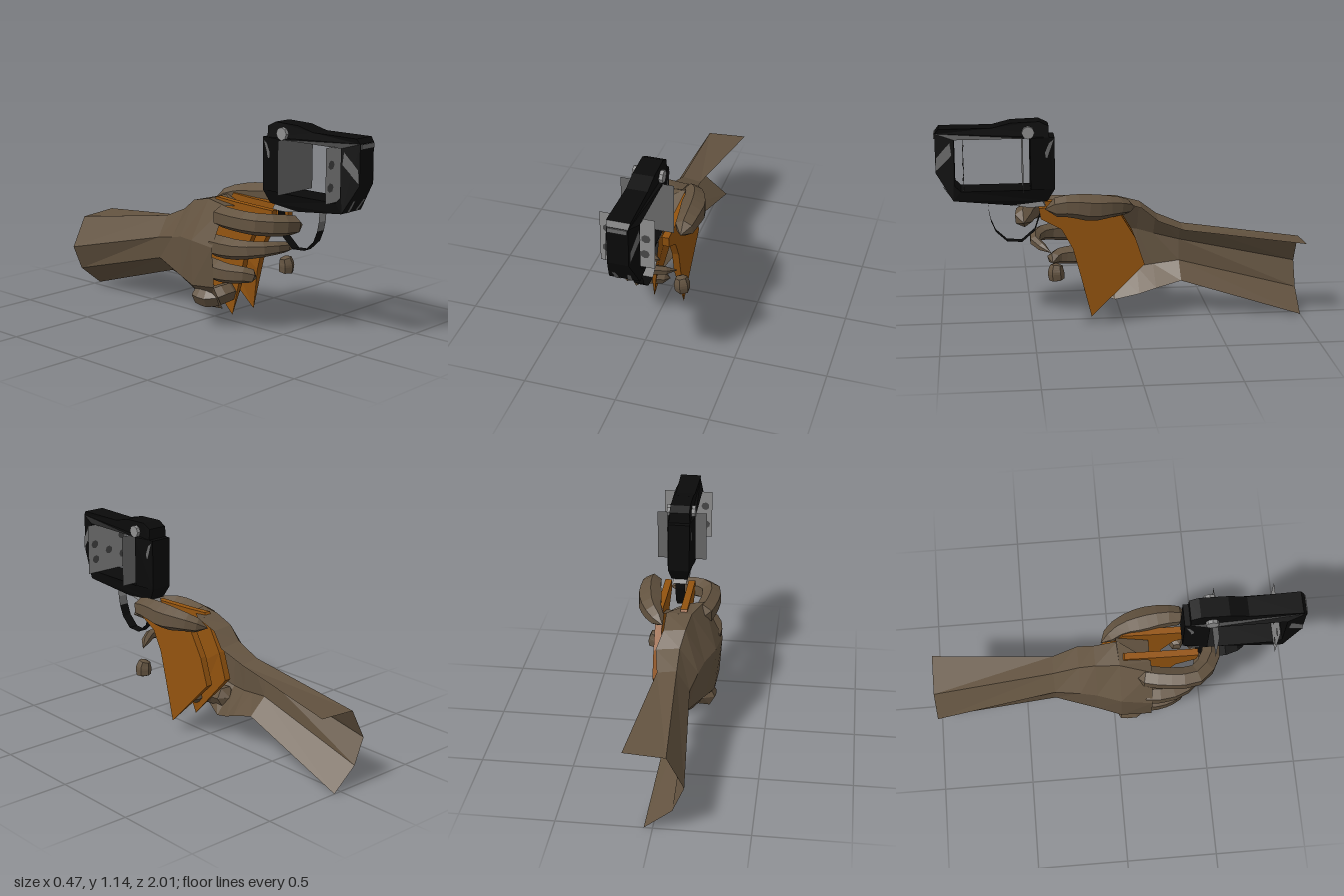
import * as THREE from 'three';

const CX = 0.035; // centre plane of the gun

const mat = (name, color) =>
  new THREE.MeshStandardMaterial({ name, color, flatShading: true, side: THREE.DoubleSide });

const skin = mat('skin', 0x635340);
const orange = mat('orange grip', 0x94540f);
const black = mat('black metal', 0x0a0a0a);
const dark = mat('dark stain', 0x484848);
const grey = mat('grey metal', 0x6a6a6a);
const light = mat('light panel', 0x8f8f8f);

function add(parent, name, geometry, material) {
  const mesh = new THREE.Mesh(geometry, material);
  mesh.name = name;
  parent.add(mesh);
  return mesh;
}

// Outline given as [z, y] pairs
const outline = (pts) => new THREE.Shape(pts.map(([z, y]) => new THREE.Vector2(z, y)));

// Slab in the side plane, spanning x = -width/2 .. width/2
function sideSlab(shape, width) {
  const g = new THREE.ExtrudeGeometry(shape, { depth: width, bevelEnabled: false });
  return g.translate(0, 0, -width / 2).rotateY(-Math.PI / 2);
}

// Changes x of every vertex by a rule
function bendX(g, rule) {
  const p = g.attributes.position;
  for (let i = 0; i < p.count; i++) p.setX(i, rule(p.getX(i), p.getY(i), p.getZ(i)));
  g.computeVertexNormals();
  return g;
}

// Joins open cross-sections (equal point counts) into a sheet
function loft(sections) {
  const n = sections[0].length;
  const index = [];
  for (let i = 0; i < sections.length - 1; i++) {
    for (let j = 0; j < n - 1; j++) {
      const a = i * n + j, b = a + 1, c = a + n, d = c + 1;
      index.push(a, b, c, b, d, c);
    }
  }
  const g = new THREE.BufferGeometry();
  g.setAttribute('position', new THREE.Float32BufferAttribute(sections.flat(2), 3));
  g.setIndex(index);
  g.computeVertexNormals();
  return g;
}

// Six-sided finger through [x, y, z, radius] points, closed at both ends
function finger(pts) {
  const curve = new THREE.CatmullRomCurve3(pts.map(([x, y, z]) => new THREE.Vector3(x, y, z)));
  const seg = 9, sides = 6;
  const g = new THREE.TubeGeometry(curve, seg, 1, sides);
  const p = g.attributes.position, v = new THREE.Vector3();
  for (let i = 0; i <= seg; i++) {
    const c = curve.getPointAt(i / seg);
    const t = (i / seg) * (pts.length - 1);
    const k = Math.min(Math.floor(t), pts.length - 2);
    let r = THREE.MathUtils.lerp(pts[k][3], pts[k + 1][3], t - k);
    if (i === 0 || i === seg) r = 0.001;
    for (let j = 0; j <= sides; j++) {
      const id = i * (sides + 1) + j;
      v.fromBufferAttribute(p, id).sub(c).multiplyScalar(r).add(c);
      p.setXYZ(id, v.x, v.y, v.z);
    }
  }
  g.computeVertexNormals();
  return g;
}

function buildGun() {
  const gun = new THREE.Group();
  gun.name = 'gun';

  // Frame with a window; nose, top, bottom and rear edges are narrower
  const shape = outline([
    [1, 0.88], [1, 1.09], [0.98, 1.115], [0.7, 1.115], [0.6, 1.14], [0.45, 1.145], [0.4, 1.12],
    [0.4, 1.06], [0.37, 1.06], [0.37, 0.78], [0.41, 0.71], [0.6, 0.69], [0.91, 0.73],
  ]);
  const hole = [[0.9, 0.81], [0.9, 1.06], [0.5, 1.06], [0.5, 0.78], [0.87, 0.78]];
  shape.holes.push(new THREE.Path(hole.map(([z, y]) => new THREE.Vector2(z, y))));
  const halfWidth = (y, z) => {
    if (z > 0.91) return 0.08 - (z - 0.91) * 0.28;
    if (y > 1.1) return 0.055;
    if (y < 0.75) return 0.045;
    return z < 0.45 ? 0.06 : 0.08;
  };
  const frame = bendX(sideSlab(shape, 0.16), (x, y, z) => CX + Math.sign(x) * halfWidth(y, z));
  add(gun, 'gunFrame', frame, black);

  // Wide thin panels across the window
  const panel = (z) => new THREE.PlaneGeometry(0.28, 0.285).translate(CX, 0.922, z);
  add(gun, 'frontPanel', panel(0.855), light);
  add(gun, 'rearPanel', panel(0.54), grey);

  // Stains on both faces of the front panel
  for (const [x, y] of [[-0.065, 0.975], [-0.07, 0.86], [0.13, 0.95], [0.125, 0.86], [0.03, 0.9]]) {
    for (const dz of [-0.003, 0.003]) {
      add(gun, 'stain', new THREE.CircleGeometry(0.024, 7).translate(x, y, 0.855 + dz), dark);
    }
  }

  // Worn patches and pins on both sides
  const patches = [
    [[1, 0.89], [0.995, 0.96], [0.92, 1.05], [0.912, 0.98]],
    [[0.43, 0.96], [0.4, 1.03], [0.375, 1.05], [0.41, 0.95]],
  ];
  for (const s of [-1, 1]) {
    for (const pts of patches) {
      const g = new THREE.ShapeGeometry(outline(pts)).rotateY(-Math.PI / 2);
      add(gun, 'wornPatch', bendX(g, (x, y, z) => CX + s * (halfWidth(y, z) + 0.006)), grey);
    }
    const pin = new THREE.CylinderGeometry(0.034, 0.034, 0.02, 8).rotateZ(Math.PI / 2);
    add(gun, 'pin', pin.translate(CX + s * 0.07, 1.09, 0.51), light);

    // Worn strip beside the centre of the lower nose
    add(gun, 'noseStrip', loft([
      [[CX + s * 0.03, 0.8, 0.962], [CX + s * 0.052, 0.8, 0.962]],
      [[CX + s * 0.018, 0.73, 0.915], [CX + s * 0.045, 0.73, 0.915]],
    ]), grey);
  }

  // Front sight strip and the plate under the frame
  add(gun, 'sight', new THREE.BoxGeometry(0.1, 0.025, 0.008).translate(CX, 1.075, 1.002), grey);
  const under = outline([[0.62, 0.695], [0.44, 0.715], [0.42, 0.675], [0.52, 0.675]]);
  add(gun, 'underPlate', sideSlab(under, 0.08).translate(CX, 0, 0), light);

  // Trigger guard: a thin band with worn upper end
  const band = (pts) => loft(pts.map(([z, y]) => [[CX - 0.028, y, z], [CX + 0.028, y, z]]));
  add(gun, 'triggerGuard', band([
    [0.715, 0.6], [0.69, 0.54], [0.63, 0.485], [0.55, 0.48], [0.48, 0.54], [0.45, 0.63], [0.45, 0.7],
  ]), black);
  add(gun, 'guardMiddle', band([[0.725, 0.65], [0.715, 0.6]]), grey);
  add(gun, 'guardEnd', band([[0.73, 0.71], [0.725, 0.65]]), light);
  return gun;
}

function buildGrips() {
  const grips = new THREE.Group();
  grips.name = 'grips';
  const shape = outline([
    [0.18, 0.06], [0.24, 0.3], [0.28, 0.45], [0.34, 0.56], [0.45, 0.62], [0.46, 0.68],
    [0.2, 0.69], [0.06, 0.7], [-0.06, 0.5], [-0.11, 0.35],
  ]);
  // Each cheek is flat outside and tapers to its lower tip
  for (const s of [-1, 1]) {
    const g = bendX(sideSlab(shape, 0.04), (x, y) => {
      const inner = x * s < 0 && y > 0.1;
      return CX + s * (inner ? 0.048 : 0.086);
    });
    add(grips, s > 0 ? 'leftGrip' : 'rightGrip', g, orange);
  }
  return grips;
}

function buildHand() {
  const hand = new THREE.Group();
  hand.name = 'hand';

  // Forearm and back of the hand, open towards the left
  const rows = [
    [-1, [[0.15, 0.445], [-0.07, 0.43], [-0.16, 0.26], [-0.1, 0.12], [0.045, 0.005]]],
    [-0.33, [[0.065, 0.52], [-0.04, 0.535], [-0.11, 0.42], [-0.1, 0.3], [0, 0.21]]],
    [-0.19, [[0.09, 0.58], [-0.04, 0.595], [-0.14, 0.45], [-0.14, 0.27], [0, 0.17]]],
    [-0.1, [[0.06, 0.65], [-0.06, 0.66], [-0.165, 0.47], [-0.165, 0.25], [-0.03, 0.13]]],
    [0.03, [[0.06, 0.69], [-0.08, 0.69], [-0.215, 0.48], [-0.21, 0.23], [-0.08, 0.085]]],
    [0.2, [[-0.06, 0.67], [-0.13, 0.68], [-0.235, 0.47], [-0.22, 0.25], [-0.15, 0.12]]],
  ];
  add(hand, 'forearm', loft(rows.map(([z, pts]) => pts.map(([x, y]) => [x, y, z]))), skin);

  // Web between thumb and palm, between the grips
  add(hand, 'palmWeb', loft([
    [[-0.08, 0.69, 0.03], [0.08, 0.69, 0.02]],
    [[-0.02, 0.62, 0.2], [0.08, 0.62, 0.2]],
    [[-0.02, 0.45, 0.12], [0.08, 0.45, 0.12]],
  ]), skin);

  const fingers = {
    thumb: [[0.07, 0.66, -0.06, 0.03], [0.14, 0.685, 0.05, 0.055], [0.17, 0.69, 0.18, 0.075],
      [0.18, 0.705, 0.3, 0.062], [0.175, 0.69, 0.43, 0.045]],
    indexFinger: [[-0.11, 0.62, 0.1, 0.06], [-0.15, 0.62, 0.3, 0.06], [-0.14, 0.62, 0.45, 0.06],
      [-0.03, 0.61, 0.53, 0.06], [0.1, 0.595, 0.54, 0.045]],
    middleFinger: [[-0.17, 0.47, 0.1, 0.06], [-0.17, 0.47, 0.32, 0.06], [-0.11, 0.48, 0.44, 0.045],
      [0.03, 0.475, 0.48, 0.03], [0.15, 0.44, 0.4, 0.02]],
    ringFinger: [[-0.16, 0.34, 0.08, 0.06], [-0.17, 0.33, 0.25, 0.06], [-0.13, 0.33, 0.36, 0.05],
      [-0.08, 0.31, 0.38, 0.035]],
    ringFingertip: [[0.16, 0.385, 0.37, 0.03], [0.168, 0.34, 0.375, 0.045], [0.17, 0.285, 0.37, 0.04]],
    littleFinger: [[-0.15, 0.18, 0, 0.06], [-0.15, 0.17, 0.12, 0.06], [-0.08, 0.19, 0.16, 0.055],
      [0.03, 0.17, 0.14, 0.03]],
  };
  for (const [name, pts] of Object.entries(fingers)) add(hand, name, finger(pts), skin);
  return hand;
}

export function createModel() {
  const model = new THREE.Group();
  model.name = 'handWithGun';
  model.add(buildGun(), buildGrips(), buildHand());
  return model;
}
